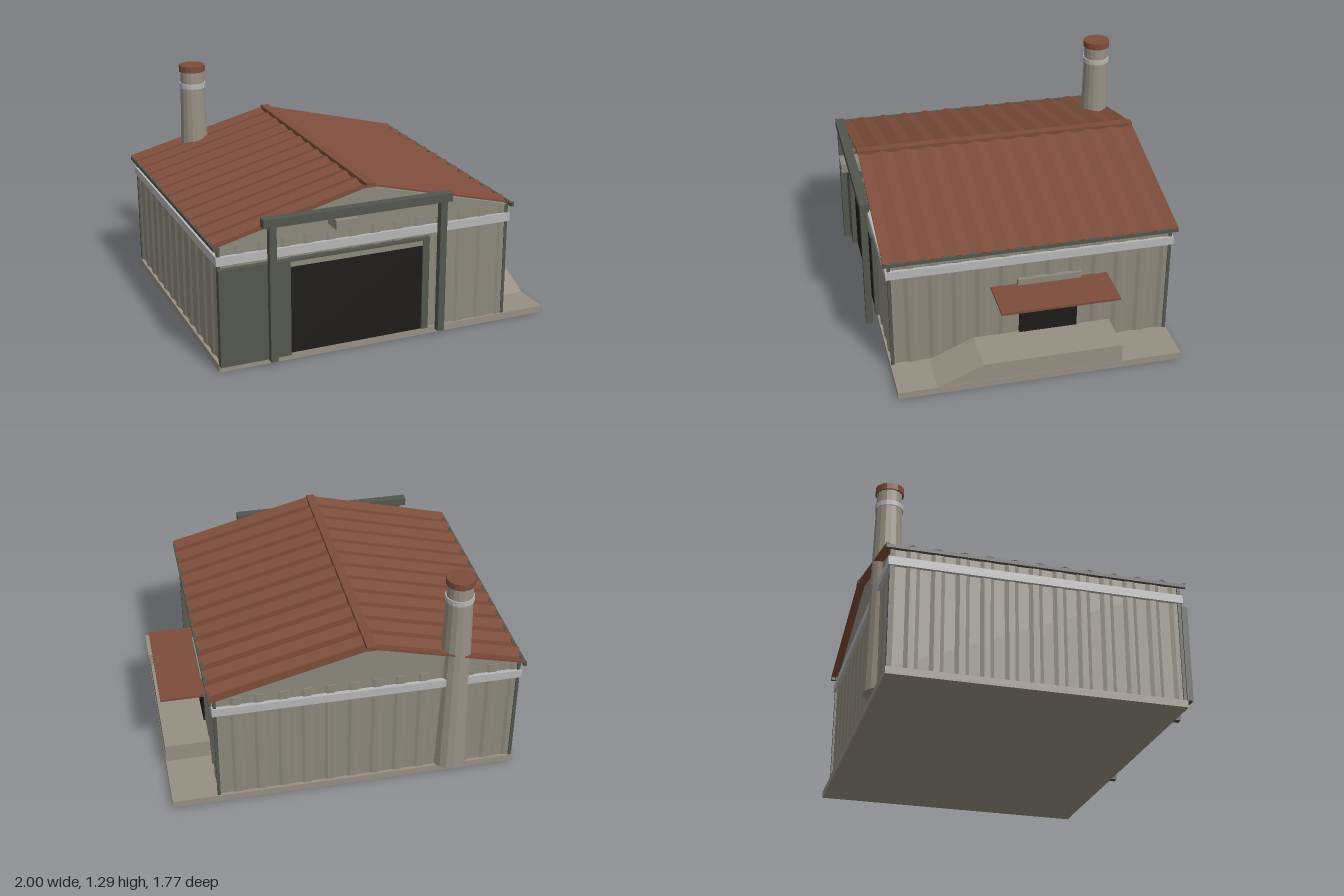
import * as THREE from 'three';

const mat = (color) => new THREE.MeshStandardMaterial({ color, flatShading: true });
const wallMat = mat(0x8c887c), stoneMat = mat(0x968f83), roofMat = mat(0x7c4c3a);
const darkMat = mat(0x53554e), blackMat = mat(0x1e1c1a), bandMat = mat(0xb6b6b6);

// Box given by its min and max corners
function box(parent, name, material, [x0, x1], [y0, y1], [z0, z1]) {
  const m = new THREE.Mesh(new THREE.BoxGeometry(x1 - x0, y1 - y0, z1 - z0), material);
  m.position.set((x0 + x1) / 2, (y0 + y1) / 2, (z0 + z1) / 2);
  m.name = name;
  parent.add(m);
  return m;
}

// Folded sheet: wave runs along x, height of the wave in y, extruded along z
function foldedSheet(width, length, amp, pitch, thick, phases) {
  const folds = Math.round(width / pitch), n = folds * phases.length, pts = [];
  for (let i = 0; i <= n; i++) {
    pts.push(new THREE.Vector2(-width / 2 + (i / n) * width, amp * phases[i % phases.length]));
  }
  const under = pts.map((p) => new THREE.Vector2(p.x, p.y - thick)).reverse();
  return new THREE.ExtrudeGeometry(new THREE.Shape([...pts, ...under]), { depth: length, bevelEnabled: false });
}

export function createModel() {
  const model = new THREE.Group();
  model.name = 'warehouse';

  // Ground slab
  box(model, 'slab', stoneMat, [-0.98, 1], [0, 0.04], [-0.84, 0.78]);

  // Solid core with gable ends
  const gable = new THREE.Shape([
    [-0.96, 0.04], [0.73, 0.04], [0.73, 0.712], [-0.115, 0.93], [-0.96, 0.712],
  ].map(([x, y]) => new THREE.Vector2(x, y)));
  const core = new THREE.Mesh(
    new THREE.ExtrudeGeometry(gable, { depth: 1.585, bevelEnabled: false }), wallMat);
  core.position.z = -0.82;
  core.name = 'gableCore';
  model.add(core);

  // Ribbed wall cladding: x, z, width, turn
  const walls = [
    ['frontWall', -0.115, 0.764, 1.7, 0],
    ['backWall', -0.115, -0.82, 1.7, Math.PI],
    ['leftWall', 0.732, -0.03, 1.59, Math.PI / 2],
    ['rightWall', -0.962, -0.03, 1.59, -Math.PI / 2],
  ];
  for (const [name, x, z, width, turn] of walls) {
    const geo = foldedSheet(width, 0.672, 0.007, 0.13, 0.012, [1, 1, -1, -1]);
    geo.rotateX(-Math.PI / 2).rotateY(Math.PI + turn);
    const wall = new THREE.Mesh(geo, wallMat);
    wall.position.set(x, 0.04, z);
    wall.name = name;
    model.add(wall);
  }

  // Corner trims
  for (const x of [-0.967, 0.737]) {
    for (const z of [-0.826, 0.766]) {
      box(model, 'cornerTrim', darkMat, [x - 0.009, x + 0.009], [0.04, 0.71], [z - 0.009, z + 0.009]);
    }
  }

  // Pale band around the walls
  for (const z of [-0.832, 0.774]) {
    box(model, 'wallBand', bandMat, [-0.984, 0.754], [0.612, 0.66], [z - 0.012, z + 0.012]);
  }
  for (const x of [-0.974, 0.744]) {
    box(model, 'wallBand', bandMat, [x - 0.01, x + 0.01], [0.612, 0.66], [-0.842, 0.784]);
  }

  // Folded roof slopes, eave strips and ridge cap
  const rise = 0.225, run = 0.883, slope = Math.atan2(rise, run);
  for (const turn of [0, Math.PI]) {
    const side = new THREE.Group();
    side.name = turn ? 'rightRoof' : 'leftRoof';
    const geo = foldedSheet(1.66, Math.hypot(rise, run), 0.009, 0.135, 0.01, [1, -1]);
    geo.rotateY(Math.PI / 2).rotateZ(-slope);
    const sheet = new THREE.Mesh(geo, roofMat);
    sheet.name = 'roofSheet';
    side.add(sheet);
    box(side, 'eaveStrip', darkMat, [0.868, 0.886], [-0.244, -0.224], [-0.83, 0.83]);
    side.position.set(-0.115, 0.945, -0.03);
    side.rotation.y = turn;
    model.add(side);
  }
  box(model, 'ridgeCap', roofMat, [-0.14, -0.09], [0.935, 0.96], [-0.862, 0.802]);

  // Large front opening, its trim and the sliding door beside it
  box(model, 'frontOpening', blackMat, [-0.58, 0.21], [0.04, 0.545], [0.75, 0.782]);
  box(model, 'openingJamb', darkMat, [0.21, 0.25], [0.04, 0.59], [0.76, 0.79]);
  box(model, 'openingLintel', wallMat, [-0.58, 0.21], [0.545, 0.58], [0.76, 0.785]);
  box(model, 'doorRail', darkMat, [-0.58, 0.25], [0.58, 0.594], [0.76, 0.798]);
  box(model, 'slidingDoor', darkMat, [-0.98, -0.58], [0.04, 0.595], [0.776, 0.81]);

  // Front portal frame with lamp box
  for (const x of [-0.692, 0.302]) {
    box(model, 'portalPost', darkMat, [x - 0.02, x + 0.02], [0.04, 0.812], [0.815, 0.853]);
  }
  box(model, 'portalBeam', darkMat, [-0.745, 0.35], [0.81, 0.858], [0.805, 0.857]);
  box(model, 'lampBox', wallMat, [-0.35, -0.23], [0.755, 0.809], [0.77, 0.887]);

  // Side dock with ramp, extruded across its width
  const dockShape = new THREE.Shape([
    [-0.56, 0.04], [0.49, 0.04], [0.49, 0.148], [-0.302, 0.148],
  ].map(([x, y]) => new THREE.Vector2(x, y)));
  const dock = new THREE.Mesh(
    new THREE.ExtrudeGeometry(dockShape, { depth: 0.26, bevelEnabled: false }).rotateY(Math.PI / 2), stoneMat);
  dock.position.x = 0.738;
  dock.name = 'loadingDock';
  model.add(dock);

  // Side door, awning and the box above it
  box(model, 'sideDoor', blackMat, [0.72, 0.748], [0.148, 0.458], [-0.295, 0.04]);
  box(model, 'awning', roofMat, [0.735, 1], [0.458, 0.472], [-0.465, 0.203]);
  box(model, 'awningBox', wallMat, [0.72, 0.756], [0.472, 0.508], [-0.31, 0.052]);

  // Tapered chimney: material, bottom y, top y, bottom radius, top radius
  const chimney = new THREE.Group();
  chimney.name = 'chimney';
  const stages = [
    ['chimneyStack', stoneMat, 0.04, 1.26, 0.103, 0.071],
    ['chimneyBand', bandMat, 1.15, 1.18, 0.08, 0.08],
    ['chimneyCap', roofMat, 1.252, 1.29, 0.08, 0.08],
  ];
  for (const [name, material, y0, y1, r0, r1] of stages) {
    const part = new THREE.Mesh(new THREE.CylinderGeometry(r1, r0, y1 - y0, 16), material);
    part.position.y = (y0 + y1) / 2;
    part.name = name;
    chimney.add(part);
  }
  chimney.position.set(-0.61, 0, -0.783);
  model.add(chimney);

  return model;
}
